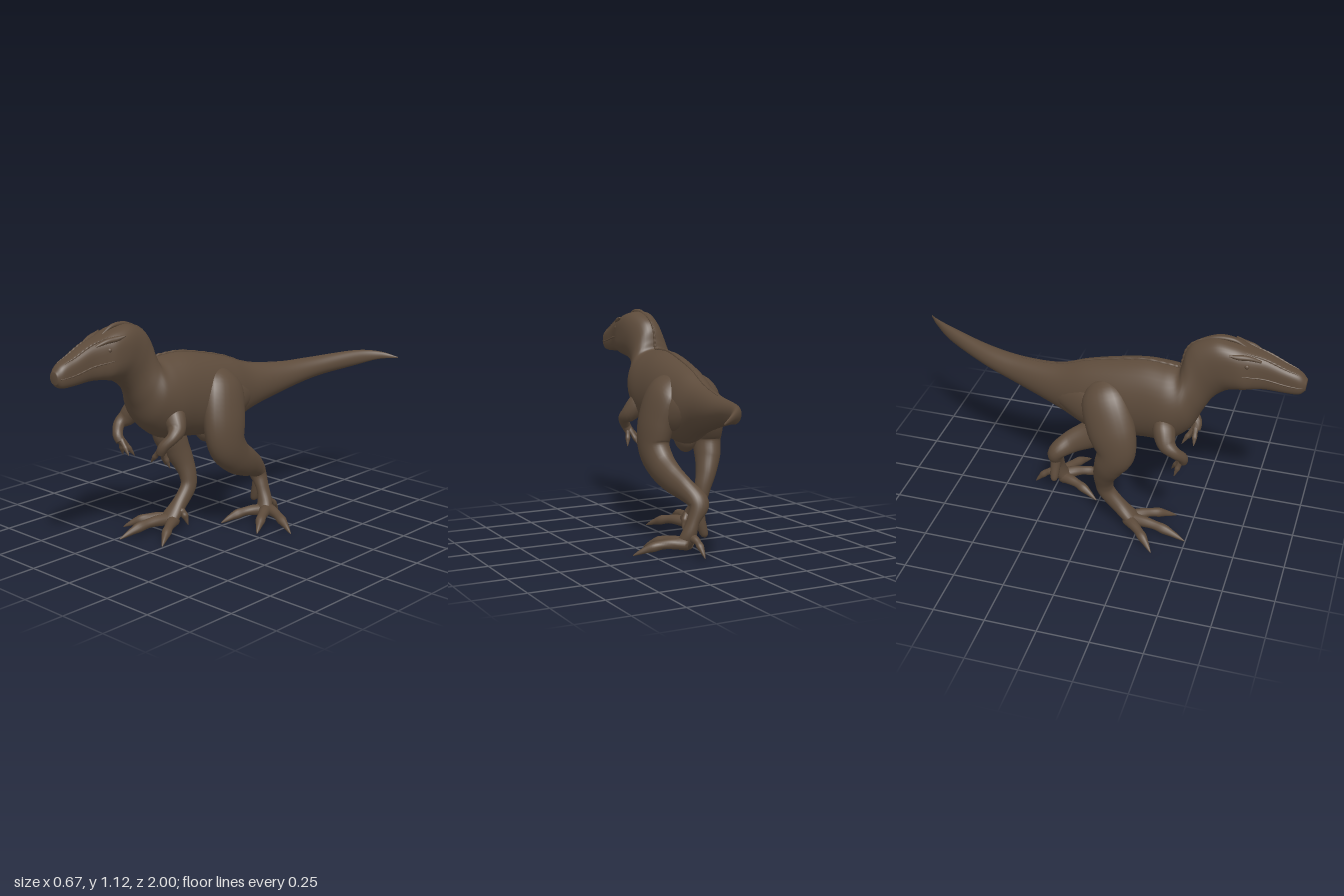
import * as THREE from 'three';

const V = (x, y, z) => new THREE.Vector3(x, y, z);
const spline = (pts) => new THREE.CatmullRomCurve3(pts, false, 'catmullrom', 0.5);
const spow = (v, e) => Math.sign(v) * Math.pow(Math.abs(v), e);

// Closed skin over the rings of surface(u, angle), capped at both ends
function loft(surface, rows, sides) {
  const pos = [], idx = [];
  for (let i = 0; i <= rows; i++) {
    for (let j = 0; j < sides; j++) pos.push(...surface(i / rows, (j / sides) * Math.PI * 2).toArray());
  }
  for (let i = 0; i < rows; i++) {
    for (let j = 0; j < sides; j++) {
      const a = i * sides + j, b = i * sides + ((j + 1) % sides);
      idx.push(a, b, a + sides, b, b + sides, a + sides);
    }
  }
  for (const end of [0, 1]) {
    const c = surface(end, 0).add(surface(end, Math.PI)).multiplyScalar(0.5);
    const n = pos.length / 3, base = end * rows * sides;
    pos.push(...c.toArray());
    for (let j = 0; j < sides; j++) {
      const a = base + j, b = base + ((j + 1) % sides);
      if (end) idx.push(n, a, b); else idx.push(n, b, a);
    }
  }
  const g = new THREE.BufferGeometry();
  g.setAttribute('position', new THREE.Float32BufferAttribute(pos, 3));
  g.setIndex(idx);
  g.computeVertexNormals();
  return g;
}

// Limb from stations [x, y, z, sideways radius, depth radius]
function limb(stations, rows = 36, sides = 20) {
  const path = spline(stations.map((s) => V(s[0], s[1], s[2])));
  const size = spline(stations.map((s) => V(s[3], s[4] ?? s[3], 0)));
  return loft((u, a) => {
    const t = path.getTangent(u), r = size.getPoint(u);
    const side = V(1, 0, 0).addScaledVector(t, -t.x).normalize();
    const depth = t.clone().cross(side);
    return path.getPoint(u)
      .addScaledVector(side, Math.max(r.x, 0.002) * Math.cos(a))
      .addScaledVector(depth, Math.max(r.y, 0.002) * Math.sin(a));
  }, rows, sides);
}

// Tail to snout: [top z, top y, bottom z, bottom y, centre x, half width]
const BODY = [
  [-1, 0.757, -1, 0.75, 0.325, 0.003],
  [-0.94, 0.785, -0.93, 0.745, 0.25, 0.015],
  [-0.83, 0.797, -0.82, 0.718, 0.173, 0.03],
  [-0.6, 0.785, -0.6, 0.68, 0.075, 0.052],
  [-0.4, 0.785, -0.38, 0.628, 0.02, 0.066],
  [-0.2, 0.81, -0.18, 0.57, -0.02, 0.087],
  [-0.05, 0.865, -0.03, 0.505, -0.035, 0.118],
  [0.1, 0.905, 0.09, 0.5, -0.045, 0.138],
  [0.24, 0.932, 0.25, 0.52, -0.055, 0.148],
  [0.35, 0.932, 0.38, 0.54, -0.065, 0.158],
  [0.41, 0.93, 0.48, 0.62, -0.068, 0.144],
  [0.425, 0.97, 0.53, 0.72, -0.07, 0.112],
  [0.44, 1.03, 0.575, 0.8, -0.07, 0.092],
  [0.48, 1.077, 0.635, 0.852, -0.068, 0.089],
  [0.57, 1.113, 0.69, 0.872, -0.065, 0.092],
  [0.66, 1.103, 0.73, 0.882, -0.064, 0.088],
  [0.73, 1.08, 0.77, 0.888, -0.063, 0.073],
  [0.81, 1.057, 0.82, 0.89, -0.063, 0.057],
  [0.9, 1.017, 0.9, 0.885, -0.062, 0.048],
  [0.965, 0.992, 0.965, 0.885, -0.062, 0.04],
  [0.998, 0.96, 0.993, 0.905, -0.062, 0.024],
];
const topLine = spline(BODY.map((s) => V(s[4], s[1], s[0])));
const bottomLine = spline(BODY.map((s) => V(s[4], s[3], s[2])));
const widths = spline(BODY.map((s) => V(s[5], 0, 0)));

function bodyPoint(u, a) {
  const top = topLine.getPoint(u), bottom = bottomLine.getPoint(u);
  // Boxier skull, rounder nose
  const e = 1 - 0.32 * THREE.MathUtils.smoothstep(u, 0.62, 0.75) * (1 - 0.6 * THREE.MathUtils.smoothstep(u, 0.9, 1));
  const half = top.clone().sub(bottom).multiplyScalar(0.5);
  return top.add(bottom).multiplyScalar(0.5)
    .addScaledVector(half, spow(Math.sin(a), e))
    .add(V(widths.getPoint(u).x * spow(Math.cos(a), e), 0, 0));
}

// Thin ridge lying along the body skin
function ridge(u0, u1, angle, radius, n = 24) {
  const st = [];
  for (let i = 0; i <= n; i++) {
    const p = bodyPoint(u0 + ((u1 - u0) * i) / n, angle);
    const r = radius * (0.25 + 0.75 * Math.sin((Math.PI * i) / n)) * (i % 2 ? 1.2 : 0.9);
    st.push([p.x, p.y, p.z, r * 0.8, r]);
  }
  return limb(st, n * 3, 8);
}

// Toe with a knuckle and a pointed, drooping claw
function toe(from, to, r, lift = 0.022) {
  const steps = [[0, 1.1], [0.25, 0.95], [0.45, 0.78], [0.62, 0.85], [0.76, 0.6], [0.88, 0.38], [1, 0.08]];
  return limb(steps.map(([t, k]) => {
    const p = V(...from).lerp(V(...to), t);
    return [p.x, Math.max(p.y + lift * Math.sin(Math.PI * t), r * k), p.z, r * k];
  }), 24, 12);
}

export function createModel() {
  const model = new THREE.Group();
  model.name = 'dinosaur';
  const hide = new THREE.MeshStandardMaterial({ color: 0x5d4b3b });
  hide.name = 'brown hide';
  const add = (name, geometry, parent = model) => {
    const m = new THREE.Mesh(geometry, hide);
    m.name = name;
    parent.add(m);
    return m;
  };
  const group = (name) => {
    const g = new THREE.Group();
    g.name = name;
    model.add(g);
    return g;
  };

  // Tail, torso, neck and head in one skin
  add('body', loft(bodyPoint, 150, 40));
  add('spineRidge', ridge(0.2, 0.76, Math.PI / 2, 0.008, 50));
  const pelvis = add('pelvisKeel', new THREE.SphereGeometry(1, 24, 16));
  pelvis.scale.set(0.055, 0.1, 0.085);
  pelvis.position.set(-0.05, 0.55, 0.05);

  // Head details, one per side
  const head = group('headDetails');
  for (const s of [1, -1]) {
    const at = (a) => (s > 0 ? a : Math.PI - a);
    add('lip', ridge(0.76, 0.975, at(-0.06), 0.004), head);
    add('snoutRidge', ridge(0.79, 0.94, at(1.1), 0.006), head);
    add('browHorn', limb([
      [-0.065 + s * 0.045, 1.045, 0.79, 0.006], [-0.065 + s * 0.058, 1.062, 0.74, 0.011],
      [-0.066 + s * 0.07, 1.068, 0.69, 0.013], [-0.066 + s * 0.091, 1.08, 0.65, 0.003],
    ], 16, 10), head);
    const eye = add('eye', new THREE.SphereGeometry(0.011, 14, 10), head);
    eye.position.set(-0.065 + s * 0.07, 1.025, 0.73);
  }
  add('headCrest', limb([
    [-0.068, 1.085, 0.5, 0.006], [-0.067, 1.112, 0.57, 0.01], [-0.065, 1.112, 0.65, 0.01], [-0.064, 1.085, 0.71, 0.004],
  ], 16, 10), head);

  // Small arms mirrored about the chest, hands curling back
  const mid = -0.08;
  for (const s of [1, -1]) {
    const arm = group(s > 0 ? 'leftArm' : 'rightArm');
    const m = (x) => mid + s * x;
    add('armAndForearm', limb([
      [m(0.09), 0.71, 0.36, 0.03], [m(0.125), 0.665, 0.375, 0.052], [m(0.165), 0.61, 0.4, 0.044],
      [m(0.18), 0.58, 0.44, 0.029], [m(0.155), 0.54, 0.475, 0.025], [m(0.135), 0.505, 0.475, 0.023],
    ], 28, 16), arm);
    for (const [x, y, z] of [[0.075, 0.45, 0.48], [0.105, 0.43, 0.415], [0.16, 0.43, 0.44]]) {
      add('finger', toe([m(0.14), 0.525, 0.475], [m(x), y, z], 0.015, 0.004), arm);
    }
  }

  // Left leg stretched back
  const left = group('leftLeg');
  add('legAndShin', limb([
    [0.02, 0.82, 0.03, 0.03, 0.06], [0.06, 0.745, 0.055, 0.07, 0.118], [0.093, 0.61, 0.085, 0.077, 0.124],
    [0.107, 0.49, 0.085, 0.07, 0.11], [0.1, 0.405, 0.02, 0.064, 0.09], [0.085, 0.35, -0.07, 0.053, 0.076],
    [0.058, 0.305, -0.16, 0.045, 0.06], [0.024, 0.25, -0.232, 0.05, 0.043], [0.058, 0.17, -0.238, 0.03, 0.036],
    [0.08, 0.1, -0.232, 0.038, 0.036], [0.095, 0.045, -0.205, 0.045, 0.03],
  ], 60, 24), left);
  add('hipMuscle', limb([
    [0.06, 0.66, 0.06, 0.06, 0.09], [0.035, 0.67, -0.04, 0.06, 0.1], [0.01, 0.68, -0.15, 0.052, 0.07], [-0.01, 0.69, -0.26, 0.04, 0.04],
  ]), left);
  add('heelSpur', limb([
    [0.035, 0.23, -0.235, 0.03], [0.022, 0.17, -0.238, 0.026], [0.006, 0.115, -0.24, 0.022], [-0.002, 0.092, -0.24, 0.016], [-0.004, 0.082, -0.24, 0.004],
  ], 20, 14), left);
  const leftToes = [
    [[0.09, 0.06, -0.24], [0.33, 0.01, -0.14], 0.028],
    [[0.1, 0.06, -0.22], [0.215, 0.015, -0.02], 0.029],
    [[0.08, 0.055, -0.22], [-0.015, 0.015, -0.01], 0.028],
    [[0.07, 0.09, -0.25], [0.06, 0.012, -0.36], 0.021],
  ];
  for (const t of leftToes) add('toe', toe(...t), left);

  // Right leg stepping forward
  const right = group('rightLeg');
  add('legAndShin', limb([
    [-0.11, 0.81, 0.04, 0.03, 0.06], [-0.16, 0.74, 0.07, 0.07, 0.112], [-0.205, 0.61, 0.12, 0.076, 0.12],
    [-0.222, 0.5, 0.148, 0.068, 0.098], [-0.212, 0.41, 0.115, 0.062, 0.076], [-0.187, 0.33, 0.085, 0.05, 0.058],
    [-0.163, 0.26, 0.075, 0.041, 0.046], [-0.152, 0.2, 0.085, 0.036, 0.043], [-0.152, 0.13, 0.145, 0.037, 0.038],
    [-0.155, 0.075, 0.205, 0.05, 0.033], [-0.157, 0.045, 0.245, 0.042, 0.025],
  ], 60, 24), right);
  add('hipMuscle', limb([
    [-0.16, 0.66, 0.08, 0.06, 0.09], [-0.115, 0.67, -0.03, 0.06, 0.1], [-0.065, 0.68, -0.15, 0.052, 0.07], [-0.03, 0.69, -0.26, 0.04, 0.04],
  ]), right);
  const rightToes = [
    [[-0.17, 0.06, 0.2], [-0.335, 0.015, 0.36], 0.028],
    [[-0.16, 0.06, 0.21], [-0.21, 0.02, 0.5], 0.029],
    [[-0.14, 0.055, 0.2], [-0.01, 0.01, 0.41], 0.028],
    [[-0.13, 0.1, 0.17], [-0.09, 0.03, 0.15], 0.021],
  ];
  for (const t of rightToes) add('toe', toe(...t), right);

  return model;
}
